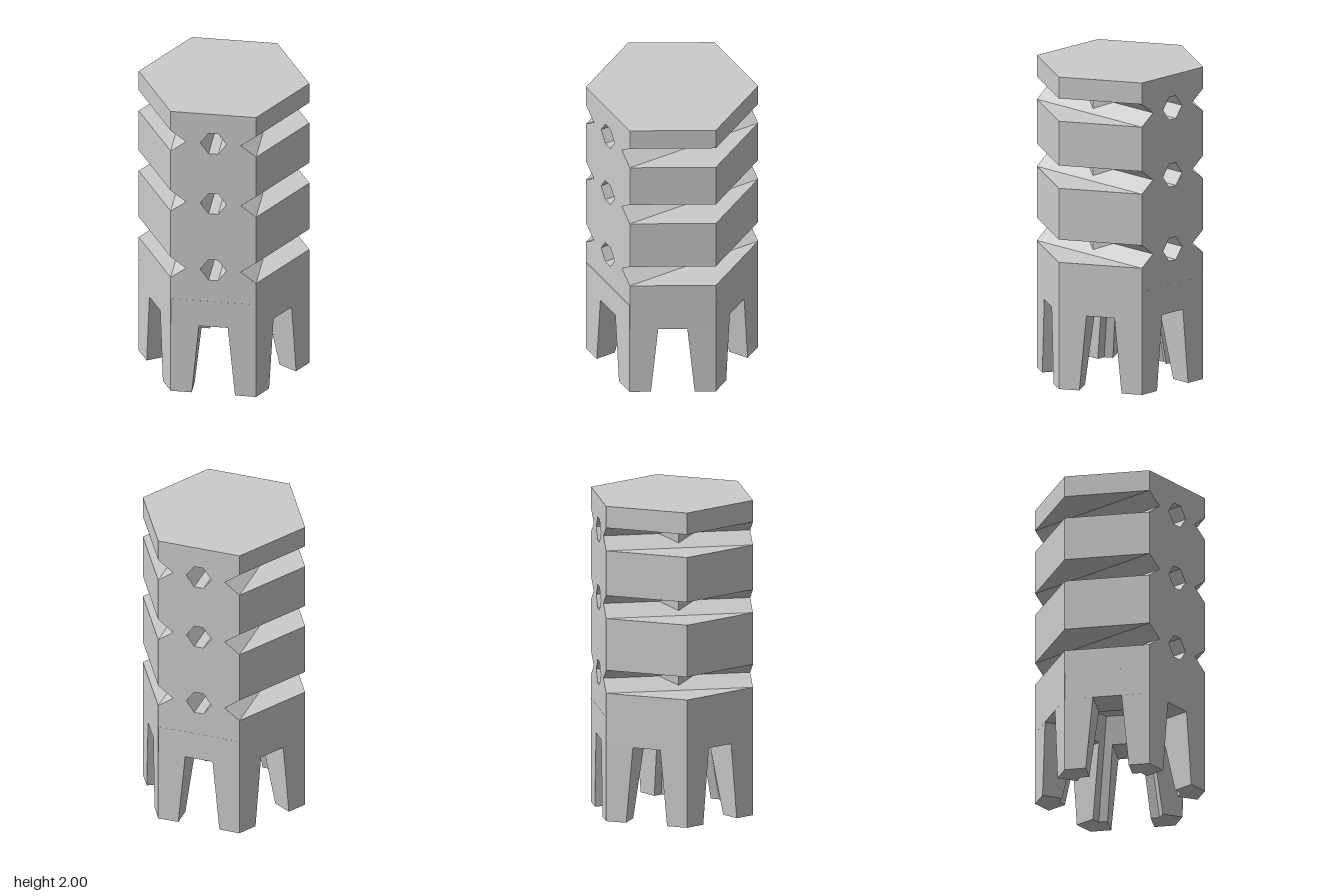
import * as THREE from 'three';

const R = 0.533, A = 0.461, HX = 0.267;      // hexagon radius, apothem, half side
const ROOF = 0.66, ARCH = 0.48, TOP = 2;     // cavity ceiling, notch top, model top
const BANDS = [0.885, 1.36, 1.79], BH = 0.073; // groove heights and half height
const C30 = Math.cos(Math.PI / 6);

const material = new THREE.MeshStandardMaterial({ color: 0xcccccc, flatShading: true });

// Cavity apothem at a given height: it narrows upwards
const cavity = (y) => 0.331 - (0.331 - 0.244) * (y / ARCH);

// Solid between two matching [x, z] loops at two heights
function loft(lower, upper, y0, y1) {
  const pos = [], n = lower.length;
  const lo = (i) => [lower[i % n][0], y0, lower[i % n][1]];
  const up = (i) => [upper[i % n][0], y1, upper[i % n][1]];
  const tri = (a, b, c) => pos.push(...a, ...b, ...c);
  for (let i = 0; i < n; i++) {
    tri(lo(i), up(i), up(i + 1));
    tri(lo(i), up(i + 1), lo(i + 1));
  }
  const faces = THREE.ShapeUtils.triangulateShape(lower.map((p) => new THREE.Vector2(...p)), []);
  for (const [a, b, c] of faces) {
    tri(lo(a), lo(b), lo(c));
    tri(up(a), up(c), up(b));
  }
  const g = new THREE.BufferGeometry();
  g.setAttribute('position', new THREE.Float32BufferAttribute(pos, 3));
  g.computeVertexNormals();
  return g;
}

// Leg section around a hexagon corner on +x: w is the notch half width, a the cavity apothem
function legSection(w, a) {
  const at = (d, s) => [d * C30 + w / 2, s * (d / 2 - w * C30)];
  return [[R, 0], at(A, 1), at(a, 1), [a / C30, 0], at(a, -1), at(A, -1)];
}

// One sixth of the hollow ring between two corners
function ringSection(a) {
  const r = a / C30;
  return [[R, 0], [HX, A], [r / 2, a], [r, 0]];
}

export function createModel() {
  const model = new THREE.Group();
  const add = (geometry, name, turn = 0) => {
    const mesh = new THREE.Mesh(geometry, material);
    mesh.name = name;
    mesh.rotation.y = turn;
    model.add(mesh);
  };

  // Six tapered legs and the hollow ring that joins them
  const leg = loft(legSection(0.135, cavity(0)), legSection(0.09, cavity(ARCH)), 0, ARCH);
  const ring = loft(ringSection(cavity(ARCH)), ringSection(cavity(ROOF)), ARCH, ROOF);
  for (let i = 0; i < 6; i++) {
    add(leg, 'leg', i * Math.PI / 3);
    add(ring, 'ringSegment', i * Math.PI / 3);
  }

  // Central slab with V notches on both edges and hexagonal holes
  const edge = [[HX, ROOF]];
  for (const y of BANDS) edge.push([HX, y - BH], [0.17, y], [HX, y + BH]);
  edge.push([HX, TOP]);
  const mirrored = edge.map(([x, y]) => [-x, y]).reverse();
  const slab = new THREE.Shape([...edge, ...mirrored].map((p) => new THREE.Vector2(...p)));
  for (const y of BANDS) {
    const hole = [[0.082, 0], [0.03, BH], [-0.03, BH], [-0.082, 0], [-0.03, -BH], [0.03, -BH]];
    slab.holes.push(new THREE.Path(hole.map(([x, dy]) => new THREE.Vector2(x, y + dy))));
  }
  const slabGeometry = new THREE.ExtrudeGeometry(slab, { depth: 2 * A, bevelEnabled: false });
  add(slabGeometry.translate(0, 0, -A), 'centralSlab');

  // Side wedges between the grooves
  const wedge = new THREE.Shape([
    new THREE.Vector2(HX, -A), new THREE.Vector2(R, 0), new THREE.Vector2(HX, A),
  ]);
  const levels = [ROOF, ...BANDS.flatMap((y) => [y - BH, y + BH]), TOP];
  for (let i = 0; i < levels.length; i += 2) {
    const g = new THREE.ExtrudeGeometry(wedge, { depth: levels[i + 1] - levels[i], bevelEnabled: false });
    g.rotateX(-Math.PI / 2).translate(0, levels[i], 0);
    add(g, 'leftWedge');
    add(g, 'rightWedge', Math.PI);
  }

  // Inner hexagonal core that shows in the grooves and holes
  const core = new THREE.CylinderGeometry(0.235, 0.235, 1.25, 6);
  add(core.rotateY(Math.PI / 6).translate(0, 1.32, 0), 'core');

  return model;
}
